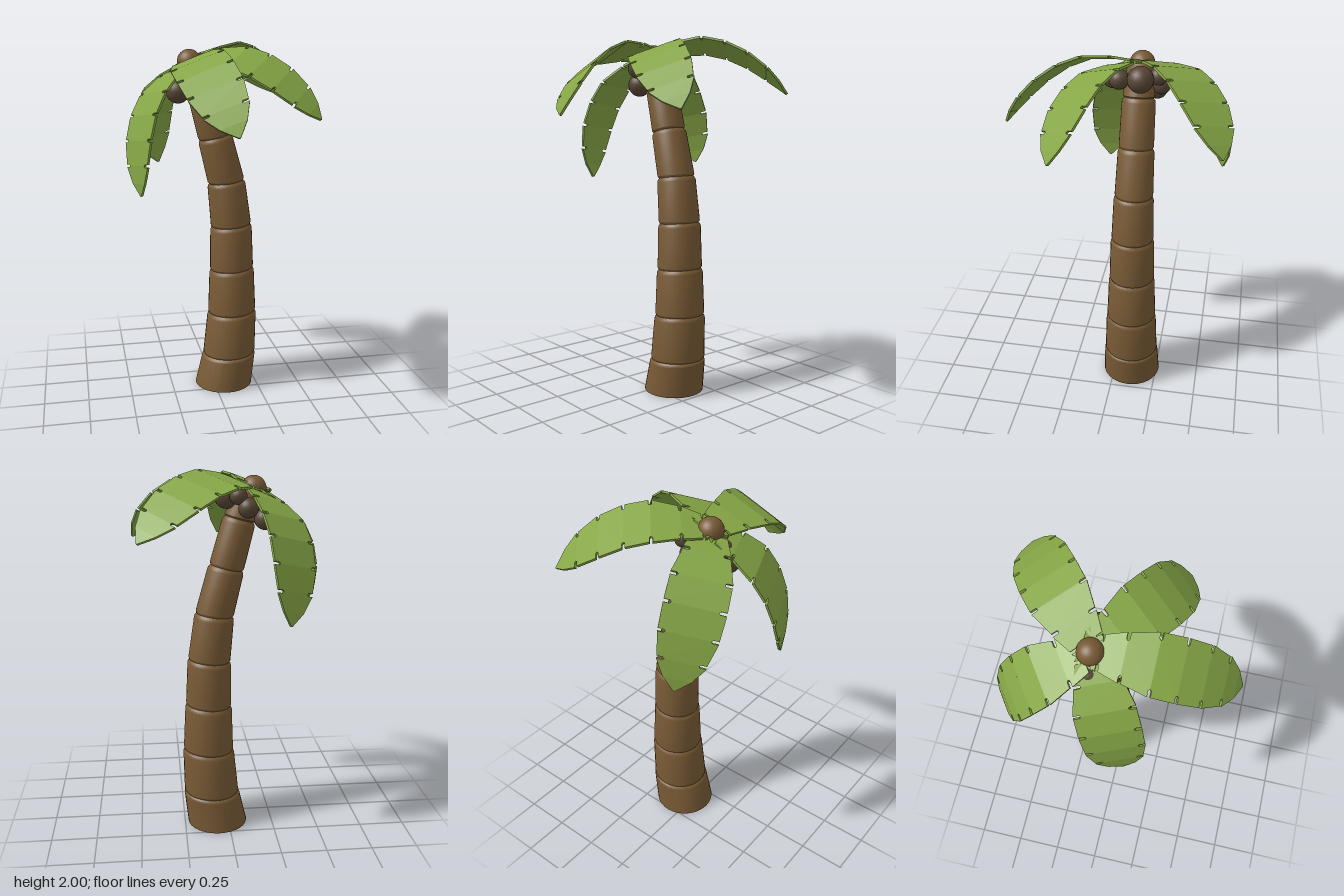
import * as THREE from 'three';
import { toCreasedNormals } from 'three/addons/utils/BufferGeometryUtils.js';

const V = (x, y, z) => new THREE.Vector3(x, y, z);
const bark = new THREE.MeshStandardMaterial({ color: 0x785a35 });
const husk = new THREE.MeshStandardMaterial({ color: 0x574636 });
const green = new THREE.MeshStandardMaterial({ color: 0x86a646 });

// Skin a list of closed rings (counter-clockwise about the path) and cap both ends
function loft(rings, crease) {
  const pos = [];
  const tri = (a, b, c) => {
    const area = b.clone().sub(a).cross(c.clone().sub(a)).length();
    if (area > 1e-8) for (const p of [a, b, c]) pos.push(p.x, p.y, p.z);
  };
  const n = rings[0].length;
  for (let i = 0; i + 1 < rings.length; i++) {
    for (let j = 0; j < n; j++) {
      const k = (j + 1) % n;
      tri(rings[i][j], rings[i][k], rings[i + 1][k]);
      tri(rings[i][j], rings[i + 1][k], rings[i + 1][j]);
    }
  }
  const first = rings[0], last = rings[rings.length - 1];
  for (let j = 1; j + 1 < n; j++) {
    tri(first[0], first[j + 1], first[j]);
    tri(last[0], last[j], last[j + 1]);
  }
  const geo = new THREE.BufferGeometry();
  geo.setAttribute('position', new THREE.Float32BufferAttribute(pos, 3));
  geo.computeVertexNormals();
  return toCreasedNormals(geo, crease);
}

// Trunk joints: x, y, radius, lean in degrees
const JOINTS = [
  [0.062, 0, 0.168, 0], [0.095, 0.195, 0.157, 2], [0.111, 0.455, 0.143, 3],
  [0.109, 0.72, 0.129, 4], [0.104, 0.98, 0.119, 5], [0.075, 1.235, 0.107, 7],
  [0.01, 1.49, 0.096, 13], [-0.058, 1.745, 0.087, 15], [-0.125, 1.91, 0.07, 18],
];
const TRUNK_Z = -0.1;

function trunkRing(lower, upper, t, inset) {
  const [x, y, r, lean] = lower.map((v, i) => v + (upper[i] - v) * t);
  const a = THREE.MathUtils.degToRad(lean);
  const ring = [];
  for (let j = 0; j < 32; j++) {
    const q = (j / 32) * Math.PI * 2;
    const px = Math.cos(q) * (r - inset);
    ring.push(V(x + px * Math.cos(a), y + px * Math.sin(a), TRUNK_Z - Math.sin(q) * (r - inset)));
  }
  return ring;
}

function makeTrunk() {
  const trunk = new THREE.Group();
  trunk.name = 'trunk';
  for (let i = 0; i + 1 < JOINTS.length; i++) {
    const ring = (t, inset) => trunkRing(JOINTS[i], JOINTS[i + 1], t, inset);
    // each section has a bevelled upper rim and a slightly tucked-in foot
    const rings = [ring(0, i ? 0.009 : 0), ring(0.04, i ? 0.003 : 0), ring(0.91, 0), ring(0.95, 0.003), ring(1, 0.012)];
    const section = new THREE.Mesh(loft(rings, 0.35), bark);
    section.name = 'trunkSection' + (i + 1);
    trunk.add(section);
  }
  const tip = new THREE.Mesh(new THREE.SphereGeometry(0.066, 24, 16), bark);
  tip.name = 'trunkTip';
  tip.position.set(-0.13, 1.9, -0.105);
  trunk.add(tip);
  return trunk;
}

// Frond profile: distance outward, height, half width
const FROND = [
  [0, 0, 0.06], [0.04, 0, 0.085], [0.15, 0.01, 0.115], [0.29, 0, 0.147], [0.41, -0.05, 0.15],
  [0.52, -0.13, 0.146], [0.61, -0.225, 0.12], [0.665, -0.3, 0.07], [0.7, -0.36, 0.004],
];
const ROOT = V(-0.13, 1.91, -0.1);
const THICK = 0.006;

// Stations along the frond, with a slit cut into both edges at every fold
function frondStations() {
  const out = [];
  const slope = (a, b) => Math.atan2(b[1] - a[1], b[0] - a[0]);
  FROND.forEach((p, i) => {
    const prev = FROND[i - 1] || p, next = FROND[i + 1] || p;
    const before = i ? slope(prev, p) : slope(p, next);
    const after = i < FROND.length - 1 ? slope(p, next) : before;
    const mid = (before + after) / 2;
    if (i < 1 || i > 6) {
      out.push([p[0], p[1], p[2], mid]);
      return;
    }
    const step = (s, w) => {
      const ang = s < 0 ? before : s > 0 ? after : mid;
      out.push([p[0] + s * Math.cos(ang), p[1] + s * Math.sin(ang), w, ang]);
    };
    step(-0.007, p[2]);
    step(-0.007, p[2] - 0.03);
    step(0, p[2] - 0.037);
    step(0.007, p[2] - 0.03);
    step(0.007, p[2]);
  });
  return out;
}

// Place a frond by where its tip points and which way its width runs
function makeFrond(tip, width) {
  const c = tip.clone().normalize();
  const w = width.clone().addScaledVector(c, -width.dot(c)).normalize();
  const n = c.clone().cross(w);
  if (n.y < 0) {
    n.negate();
    w.negate();
  }
  const droop = Math.atan2(0.36, 0.7);
  const along = c.clone().multiplyScalar(Math.cos(droop)).addScaledVector(n, Math.sin(droop));
  const up = n.clone().multiplyScalar(Math.cos(droop)).addScaledVector(c, -Math.sin(droop));
  const rings = frondStations().map(([d, h, half, ang]) =>
    [[1, 1], [-1, 1], [-1, -1], [1, -1]].map(([sw, sn]) =>
      ROOT.clone()
        .addScaledVector(along, d - sn * THICK * Math.sin(ang))
        .addScaledVector(up, h + sn * THICK * Math.cos(ang))
        .addScaledVector(w, sw * half)));
  return new THREE.Mesh(loft(rings, 0.1), green);
}

export function createModel() {
  const palm = new THREE.Group();
  palm.name = 'palmTree';
  palm.add(makeTrunk());

  const fronds = {
    frontFrond: [V(0.125, -0.33, 0.7), V(0.93, 0.36, 0)],
    frontLeftFrond: [V(0.64, -0.3, 0.35), V(0.57, 0.33, -0.75)],
    backLeftFrond: [V(0.6, -0.22, -0.46), V(0.62, 0.25, 0.7)],
    backRightFrond: [V(-0.13, -0.64, -0.46), V(0.82, 0.25, -0.57)],
    rightFrond: [V(-0.3, -0.71, 0.22), V(0.35, 0.13, 0.9)],
  };
  for (const [name, [tip, width]] of Object.entries(fronds)) {
    const frond = makeFrond(tip, width);
    frond.name = name;
    palm.add(frond);
  }

  // Coconuts clustered under the crown: x, y, z, radius
  const nuts = [
    [0.01, 1.865, -0.115, 0.068], [-0.03, 1.845, 0, 0.052], [-0.09, 1.83, 0.04, 0.055],
    [-0.04, 1.87, -0.2, 0.046], [-0.09, 1.81, -0.21, 0.052], [-0.18, 1.75, -0.18, 0.055],
    [-0.2, 1.745, -0.06, 0.065], [-0.2, 1.82, -0.1, 0.05],
  ];
  const coconuts = new THREE.Group();
  coconuts.name = 'coconuts';
  nuts.forEach(([x, y, z, r], i) => {
    const nut = new THREE.Mesh(new THREE.SphereGeometry(r, 20, 14), husk);
    nut.name = 'coconut' + (i + 1);
    nut.position.set(x, y, z);
    coconuts.add(nut);
  });
  palm.add(coconuts);
  return palm;
}
